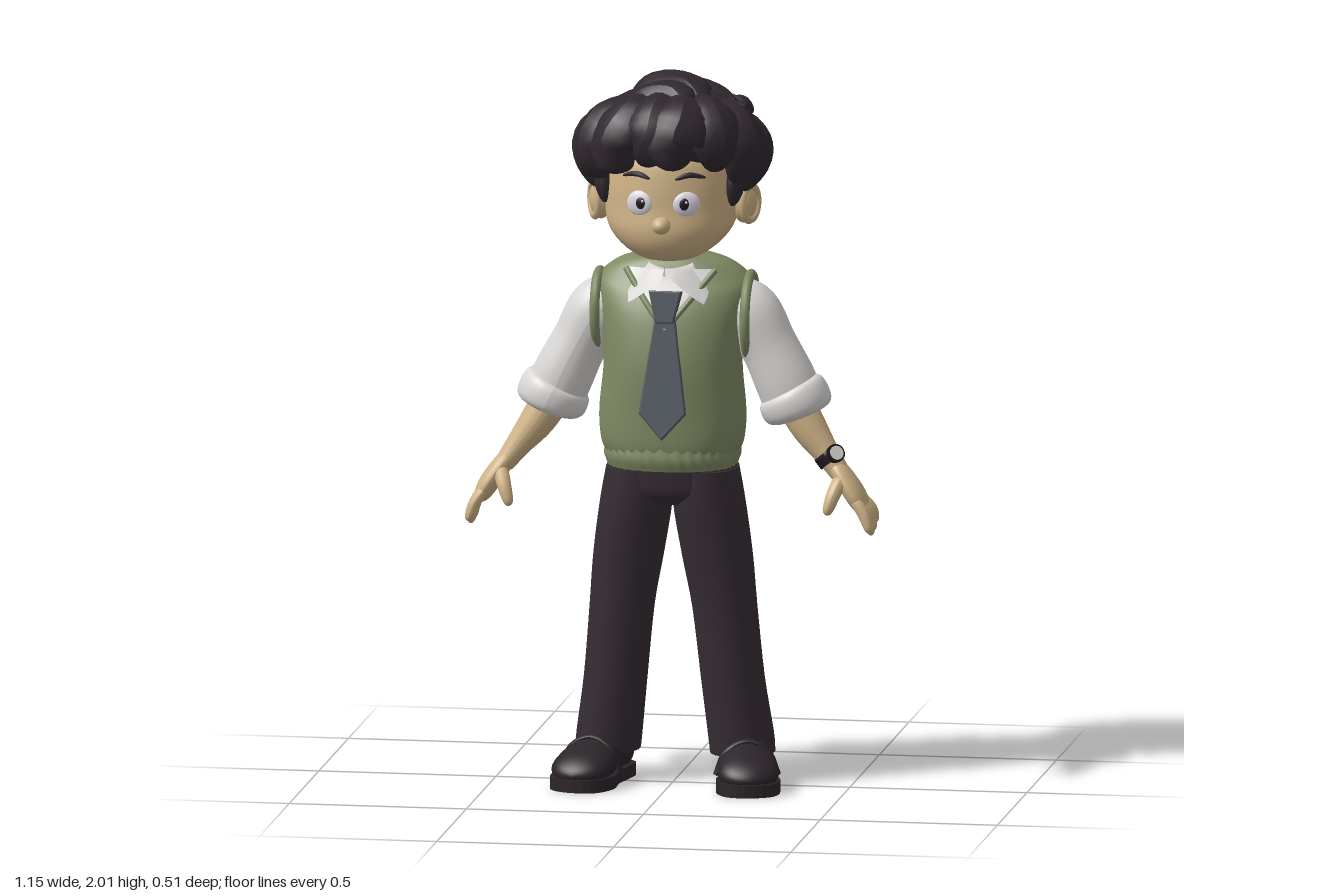
import * as THREE from 'three';

const V = (x, y, z) => new THREE.Vector3(x, y, z);
const X = V(1, 0, 0), Y = V(0, 1, 0), Z = V(0, 0, 1);

const colours = {
  skin: 0xcfb286, vest: 0x7f8a63, shirt: 0xd9d7d5, tie: 0x4e555f, hair: 0x30282f,
  trousers: 0x362d34, shoes: 0x2b2429, eyeWhite: 0xdcd9e2, dark: 0x20181d, mouth: 0x7d5742,
};
const mats = {};
for (const name in colours) {
  mats[name] = new THREE.MeshStandardMaterial({ color: colours[name], side: THREE.DoubleSide });
  mats[name].name = name;
}

// Smooth curves through the centres and radii of a list [x, y, z, a, b]
function curves(pts) {
  const mk = (list) => new THREE.CatmullRomCurve3(list, false, 'catmullrom', 0.5);
  return [mk(pts.map((p) => V(p[0], p[1], p[2]))), mk(pts.map((p) => V(p[3], p[4] ?? p[3], 0)))];
}

// Elliptical sweep: radius a lies along ref, b across it; axis fixes the ring direction
function sweep(pts, { ref = X, axis = null, round = false, n = 32, m = 24, p = 2, ripple = 0, waves = 0 } = {}) {
  const [path, rad] = curves(pts);
  const pos = [], idx = [], w = n + 1;
  const pw = (v) => Math.sign(v) * Math.abs(v) ** (2 / p);
  for (let i = 0; i <= m; i++) {
    const t = round ? (1 - Math.cos((Math.PI * i) / m)) / 2 : i / m;
    const c = path.getPoint(t), r = rad.getPoint(t);
    const k = round ? Math.sqrt(Math.max(1e-6, 1 - (2 * t - 1) ** 8)) : 1;
    const tan = axis || path.getTangent(t);
    const s = ref.clone().addScaledVector(tan, -ref.dot(tan)).normalize();
    const o = tan.clone().cross(s);
    for (let j = 0; j <= n; j++) {
      const a = ((j % n) / n) * Math.PI * 2, q = k * (1 + ripple * Math.sin(waves * a + 3 * t));
      const v = c.clone().addScaledVector(s, r.x * q * pw(Math.cos(a))).addScaledVector(o, r.y * q * pw(Math.sin(a)));
      pos.push(v.x, v.y, v.z);
      if (i < m && j < n) {
        const b = i * w + j;
        idx.push(b, b + 1, b + w + 1, b, b + w + 1, b + w);
      }
    }
  }
  // separate end caps keep the rims crisp
  for (const i of [0, m]) {
    const base = pos.length / 3, c = path.getPoint(i / m);
    for (let j = 0; j <= n; j++) pos.push(...pos.slice((i * w + j) * 3, (i * w + j) * 3 + 3));
    pos.push(c.x, c.y, c.z);
    for (let j = 0; j < n; j++) idx.push(base + w, base + j + (i ? 0 : 1), base + j + (i ? 1 : 0));
  }
  return finish(pos, idx);
}

function finish(pos, idx) {
  const g = new THREE.BufferGeometry();
  g.setAttribute('position', new THREE.Float32BufferAttribute(pos, 3));
  g.setIndex(idx);
  g.computeVertexNormals();
  return g;
}

// Sheet from a function of u and v, both 0..1
function sheet(f, nu, nv) {
  const pos = [], idx = [];
  for (let i = 0; i <= nv; i++) for (let j = 0; j <= nu; j++) {
    pos.push(...f(j / nu, i / nv));
    const b = i * (nu + 1) + j;
    if (i < nv && j < nu) idx.push(b, b + 1, b + nu + 2, b, b + nu + 2, b + nu + 1);
  }
  return finish(pos, idx);
}

function add(parent, name, geo, mat, at) {
  const mesh = new THREE.Mesh(geo, mats[mat]);
  mesh.name = name;
  if (at) mesh.position.set(...at);
  parent.add(mesh);
  return mesh;
}

function ball(parent, name, mat, at, scale, ry = 0) {
  const mesh = add(parent, name, new THREE.SphereGeometry(1, 24, 16), mat, at);
  mesh.scale.set(...scale);
  mesh.rotation.y = ry;
  return mesh;
}

const torso = [[0, 0.94, 0, 0.185, 0.148], [0, 0.98, 0, 0.2, 0.155], [0, 1.06, 0, 0.205, 0.155], [0, 1.2, -0.005, 0.193, 0.16],
  [0, 1.32, -0.018, 0.205, 0.148], [0, 1.39, -0.03, 0.218, 0.128], [0, 1.43, -0.04, 0.215, 0.108], [0, 1.475, -0.04, 0.16, 0.085], [0, 1.5, -0.04, 0.08, 0.06]];

function buildHead(g) {
  add(g, 'head', sweep([[0, 1.495, 0.085, 0.01, 0.01], [0, 1.505, 0.08, 0.075, 0.06], [0, 1.54, 0.055, 0.135, 0.12], [0, 1.59, 0.03, 0.176, 0.158],
    [0, 1.65, 0.01, 0.187, 0.17], [0, 1.72, 0, 0.187, 0.175], [0, 1.8, -0.01, 0.17, 0.165], [0, 1.88, -0.02, 0.08, 0.09]], { axis: Y, n: 48 }), 'skin');
  add(g, 'neck', sweep([[0, 1.4, -0.035, 0.07, 0.065], [0, 1.46, -0.03, 0.06, 0.058], [0, 1.56, -0.02, 0.062, 0.062]], { axis: Y }), 'skin');
  ball(g, 'nose', 'skin', [0, 1.612, 0.195], [0.026, 0.024, 0.034]);
  const mouth = add(g, 'mouth', new THREE.TorusGeometry(0.05, 0.0035, 6, 20, 1.5), 'mouth', [0.006, 1.598, 0.171]);
  mouth.rotation.set(0.25, 0, -Math.PI / 2 - 0.75);
  for (const s of [-1, 1]) {
    ball(g, 'ear', 'skin', [s * 0.203, 1.648, 0.002], [0.032, 0.056, 0.044], -s * 0.3);
    const rim = add(g, 'earRim', new THREE.TorusGeometry(0.036, 0.011, 8, 24), 'skin', [s * 0.219, 1.65, 0.008]);
    rim.rotation.y = s * 1.1;
    rim.scale.y = 1.3;
    ball(g, 'eyeWhite', 'eyeWhite', [s * 0.066, 1.668, 0.163], [0.039, 0.037, 0.015], s * 0.3);
    ball(g, 'pupil', 'dark', [s * 0.062, 1.67, 0.175], [0.016, 0.019, 0.006], s * 0.25);
    ball(g, 'eyeGlint', 'eyeWhite', [s * 0.062 + 0.006, 1.677, 0.181], [0.004, 0.004, 0.002]);
    add(g, 'eyebrow', sweep([[s * 0.035, 1.74, 0.176, 0.005], [s * 0.075, 1.752, 0.164, 0.008], [s * 0.118, 1.742, 0.14, 0.004]], { ref: Y, n: 10, m: 10, round: true }), 'hair');
  }
}

function buildHair(g) {
  add(g, 'hairBack', sweep([[0, 1.535, -0.1, 0.05, 0.04], [0, 1.57, -0.105, 0.13, 0.085], [0, 1.65, -0.12, 0.185, 0.108], [0, 1.72, -0.09, 0.222, 0.155],
    [0, 1.8, -0.04, 0.235, 0.208], [0, 1.88, -0.02, 0.212, 0.2], [0, 1.94, -0.015, 0.15, 0.15], [0, 1.972, -0.01, 0.05, 0.05]],
  { axis: Y, n: 112, m: 32, ripple: 0.012, waves: 22 }), 'hair');
  const lock = (name, pts, w, shape = [0.55, 1, 0.95, 0.4]) => {
    const mid = pts[1];
    const out = V(mid[0], mid[1] - 1.75, mid[2] + 0.03).normalize();
    add(g, name, sweep(pts.map((q, i) => [...q, w * shape[i] * 0.7, w * shape[i]]), { ref: out, n: 18, m: 18, round: true, ripple: 0.04, waves: 5 }), 'hair');
  };
  // fringe, from one temple to the other
  [[0.075, [[-0.15, 1.9, -0.04], [-0.215, 1.84, 0], [-0.225, 1.77, 0.02], [-0.2, 1.69, 0.05]]],
    [0.075, [[-0.11, 1.93, 0], [-0.175, 1.88, 0.08], [-0.205, 1.8, 0.1], [-0.17, 1.73, 0.12]]],
    [0.075, [[-0.04, 1.95, 0.05], [-0.1, 1.9, 0.145], [-0.14, 1.82, 0.165], [-0.09, 1.765, 0.17]]],
    [0.075, [[0, 1.96, 0.04], [-0.02, 1.91, 0.165], [-0.03, 1.85, 0.2], [-0.06, 1.78, 0.18]]],
    [0.085, [[0.04, 1.95, 0.06], [0.05, 1.9, 0.175], [0.035, 1.84, 0.205], [0.07, 1.785, 0.185]]],
    [0.075, [[0.08, 1.95, 0.04], [0.13, 1.9, 0.13], [0.15, 1.83, 0.155], [0.14, 1.76, 0.14]]],
    [0.075, [[0.14, 1.93, 0], [0.195, 1.87, 0.07], [0.215, 1.8, 0.09], [0.19, 1.72, 0.1]]],
    [0.075, [[0.15, 1.9, -0.04], [0.215, 1.84, 0], [0.23, 1.78, 0.02], [0.205, 1.69, 0.05]]],
  ].forEach(([w, p]) => lock('fringeLock', p, w));
  // swirling curls over the crown
  [[0.06, [[-0.13, 1.91, -0.08], [-0.06, 1.95, -0.1], [0.03, 1.955, -0.07], [0.1, 1.94, -0.03]]],
    [0.06, [[-0.12, 1.92, 0], [-0.05, 1.955, 0.01], [0.04, 1.96, 0.03], [0.1, 1.93, 0.08]]],
    [0.055, [[-0.11, 1.93, 0.06], [-0.05, 1.95, 0.07], [0.02, 1.955, 0.09], [0.06, 1.93, 0.13]]],
    [0.06, [[-0.06, 1.94, -0.13], [0.05, 1.93, -0.13], [0.12, 1.91, -0.09], [0.17, 1.89, -0.03]]],
    [0.045, [[0.1, 1.9, -0.02], [0.155, 1.91, 0], [0.19, 1.92, 0.01], [0.215, 1.945, 0.01]]],
  ].forEach(([w, p]) => lock('crownCurl', p, w, [0.6, 1, 1, 0.6]));
  for (const s of [-1, 1]) {
    lock('sideburn', [[s * 0.19, 1.78, 0.05], [s * 0.188, 1.73, 0.06], [s * 0.185, 1.69, 0.065], [s * 0.18, 1.65, 0.07]], 0.032);
  }
}

function buildTorso(g) {
  add(g, 'vest', sweep(torso, { axis: Y, n: 56, m: 40, p: 2.3 }), 'vest');
  add(g, 'ribbedHem', sweep([[0, 0.905, 0, 0.178, 0.148], [0, 0.935, 0, 0.188, 0.157], [0, 0.968, 0, 0.186, 0.152]],
    { axis: Y, n: 144, m: 8, p: 2.3, ripple: 0.016, waves: 36 }), 'vest');
  // shirt front lying on the chest in the V-neck
  const [path, rad] = curves(torso);
  const frontZ = (x, y) => {
    let lo = 0, hi = 1;
    for (let i = 0; i < 24; i++) { const t = (lo + hi) / 2; if (path.getPoint(t).y < y) lo = t; else hi = t; }
    const r = rad.getPoint(lo);
    return path.getPoint(lo).z + r.y * Math.max(0, 1 - Math.abs(x / r.x) ** 2.3) ** (1 / 2.3);
  };
  const onChest = (x, y, lift) => [x, y, frontZ(x, y) + lift];
  add(g, 'shirtFront', sheet((u, v) => onChest((2 * u - 1) * v * 0.125, 1.31 + v * 0.155, 0.006), 12, 14), 'shirt');
  for (const s of [-1, 1]) {
    const edge = [0, 0.25, 0.5, 0.75, 1].map((v) => [...onChest(s * v * 0.125, 1.305 + v * 0.155, 0.004), 0.009]);
    add(g, 'neckTrim', sweep(edge, { ref: Z, n: 10, m: 14 }), 'vest');
    const trim = add(g, 'armholeTrim', new THREE.TorusGeometry(0.1, 0.014, 10, 36), 'vest', [s * 0.212, 1.325, -0.035]);
    trim.rotation.set(0, Math.PI / 2, s * -0.18);
    trim.scale.set(0.92, 1.12, 1);
  }
  // folded collar with two front points
  add(g, 'collar', sheet((u, v) => {
    const a = 0.14 + u * (Math.PI * 2 - 0.28), f = Math.min(a, Math.PI * 2 - a);
    const tip = Math.max(0, 1 - Math.abs(f - 0.72) / 0.5), front = (1 + Math.cos(f)) / 2;
    const k = v < 0.4 ? v / 0.4 : 1 - (v - 0.4) / 0.6, top = 1.52 - 0.05 * front;
    const r = v < 0.4 ? 0.068 + 0.008 * k : 0.076 + (1 - k) * (0.04 + 0.045 * tip);
    const low = v < 0.4 ? 1.43 : 1.45 - 0.015 * front - 0.06 * tip;
    return [r * Math.sin(a), low + (top - low) * k, r * Math.cos(a) - 0.025 + 0.022 * front];
  }, 72, 10), 'shirt');
  // tie
  const tie = new THREE.Group();
  tie.name = 'tie';
  tie.position.set(0, 1.4, 0.112);
  tie.rotation.x = -0.19;
  const outline = (pts) => new THREE.Shape(pts.map(([x, y]) => new THREE.Vector2(x, y)));
  const bevel = { depth: 0.012, bevelSize: 0.004, bevelThickness: 0.004, bevelSegments: 2 };
  add(tie, 'tieBlade', new THREE.ExtrudeGeometry(outline([[-0.024, -0.06], [-0.062, -0.33], [0, -0.4], [0.062, -0.33], [0.024, -0.06]]), bevel), 'tie');
  add(tie, 'tieKnot', new THREE.ExtrudeGeometry(outline([[-0.042, 0.008], [-0.022, -0.075], [0.022, -0.075], [0.042, 0.008]]), { ...bevel, depth: 0.024 }), 'tie');
  g.add(tie);
}

function buildArm(g, s) {
  const P = (...pts) => pts.map(([x, ...rest]) => [s * x, ...rest]);
  add(g, 'sleeve', sweep(P([0.15, 1.37, -0.035, 0.07], [0.21, 1.33, -0.035, 0.088], [0.265, 1.24, -0.033, 0.085, 0.08], [0.31, 1.15, -0.03, 0.088, 0.085], [0.335, 1.09, -0.028, 0.085, 0.085]), { ref: Z }), 'shirt');
  add(g, 'rolledCuff', sweep(P([0.318, 1.13, -0.028, 0.09], [0.334, 1.1, -0.028, 0.1], [0.348, 1.07, -0.027, 0.1], [0.36, 1.04, -0.027, 0.088]), { ref: Z, round: true }), 'shirt');
  add(g, 'forearm', sweep(P([0.335, 1.09, -0.027, 0.055], [0.385, 1.01, -0.015, 0.049], [0.435, 0.945, 0, 0.036], [0.475, 0.89, 0.008, 0.036, 0.028]), { ref: Z }), 'skin');
  add(g, 'palm', sweep(P([0.45, 0.925, 0.003, 0.032, 0.026], [0.49, 0.875, 0.012, 0.05, 0.028], [0.52, 0.83, 0.014, 0.058, 0.028], [0.545, 0.785, 0.014, 0.05, 0.02]), { ref: Z, round: true }), 'skin');
  [[0.054, 0.735, 0.07], [0.027, 0.722, 0.033], [-0.001, 0.728, -0.004], [-0.027, 0.745, -0.036]].forEach(([z, y, z2], i) => {
    add(g, 'finger', sweep(P([0.518, 0.83, z, 0.016], [0.55 + i * 0.002, 0.785, (z + z2) / 2, 0.017], [0.568 - i * 0.001, y, z2, 0.012]), { ref: Z, round: true, n: 14, m: 14 }), 'skin');
  });
  add(g, 'thumb', sweep(P([0.483, 0.885, 0.03, 0.022], [0.465, 0.84, 0.07, 0.02], [0.447, 0.785, 0.088, 0.014]), { ref: Z, round: true, n: 16, m: 14 }), 'skin');
}

function buildWatch(g) {
  add(g, 'watchBand', sweep([[0.433, 0.948, 0, 0.043, 0.04], [0.452, 0.922, 0.003, 0.042, 0.039]], { ref: Z, m: 4 }), 'dark');
  const n = V(0.55, 0.4, 0.73).normalize();
  [['watchCase', 'dark', 0.026, 0.016, 0.038], ['watchFace', 'shirt', 0.02, 0.006, 0.046]].forEach(([name, mat, r, h, d]) => {
    const disc = add(g, name, new THREE.CylinderGeometry(r, r, h, 24), mat);
    disc.position.set(0.443, 0.935, 0.002).addScaledVector(n, d);
    disc.quaternion.setFromUnitVectors(Y, n);
  });
}

function buildLeg(g, s) {
  add(g, 'trouserLeg', sweep([[0.095, 0.9, 0, 0.09, 0.122], [0.103, 0.8, 0, 0.1, 0.118], [0.125, 0.65, -0.005, 0.098, 0.106], [0.145, 0.5, -0.012, 0.09, 0.098],
    [0.165, 0.3, -0.026, 0.088, 0.1], [0.185, 0.14, -0.042, 0.091, 0.106], [0.19, 0.085, -0.045, 0.09, 0.104]].map(([x, ...r]) => [s * x, ...r]), { axis: V(0, -1, 0), p: 2.2 }), 'trousers');
  const shoe = new THREE.Group();
  shoe.name = 'shoe';
  shoe.position.set(s * 0.213, 0, 0.032);
  shoe.rotation.y = s * 0.22;
  add(shoe, 'shoeUpper', sweep([[0, 0.055, -0.17, 0.05, 0.04], [0, 0.07, -0.12, 0.066, 0.062], [0, 0.075, -0.03, 0.07, 0.066], [0, 0.062, 0.05, 0.083, 0.058], [0, 0.05, 0.12, 0.084, 0.046], [0, 0.04, 0.178, 0.06, 0.028]]
    .map(([x, y, ...r]) => [x, y + 0.004, ...r]), { axis: Z, round: true }), 'shoes');
  add(shoe, 'instepStrap', sweep([[-0.088, 0.04, 0.03, 0.016, 0.007], [-0.06, 0.105, 0.03, 0.016, 0.007], [0, 0.133, 0.025, 0.016, 0.007], [0.06, 0.105, 0.03, 0.016, 0.007], [0.088, 0.04, 0.03, 0.016, 0.007]], { ref: Z, n: 12 }), 'shoes');
  const rim = [[0, -0.178], [0.06, -0.15], [0.07, -0.08], [0.072, 0], [0.09, 0.09], [0.065, 0.165], [0, 0.187], [-0.065, 0.165], [-0.09, 0.09], [-0.072, 0], [-0.07, -0.08], [-0.06, -0.15]];
  const curve = new THREE.CatmullRomCurve3(rim.map(([x, z]) => V(x, z, 0)), true);
  const sole = new THREE.ExtrudeGeometry(new THREE.Shape(curve.getPoints(48).slice(0, -1).map((q) => new THREE.Vector2(q.x, q.y))), { depth: 0.036, bevelEnabled: false });
  add(shoe, 'sole', sole.rotateX(Math.PI / 2).translate(0, 0.036, 0), 'shoes');
  g.add(shoe);
}

export function createModel() {
  const model = new THREE.Group();
  model.name = 'schoolboy';
  const part = (name, build, ...args) => {
    const g = new THREE.Group();
    g.name = name;
    build(g, ...args);
    model.add(g);
  };
  part('headGroup', buildHead);
  part('hairGroup', buildHair);
  part('torsoGroup', buildTorso);
  part('leftArm', buildArm, 1);
  part('rightArm', buildArm, -1);
  part('watch', buildWatch);
  part('leftLeg', buildLeg, 1);
  part('rightLeg', buildLeg, -1);
  add(model, 'trouserSeat', sweep([[0, 0.8, 0, 0.1, 0.085], [0, 0.83, 0, 0.18, 0.118], [0, 0.88, 0, 0.182, 0.127], [0, 0.94, 0, 0.175, 0.13]], { axis: Y, p: 2.3 }), 'trousers');
  return model;
}
